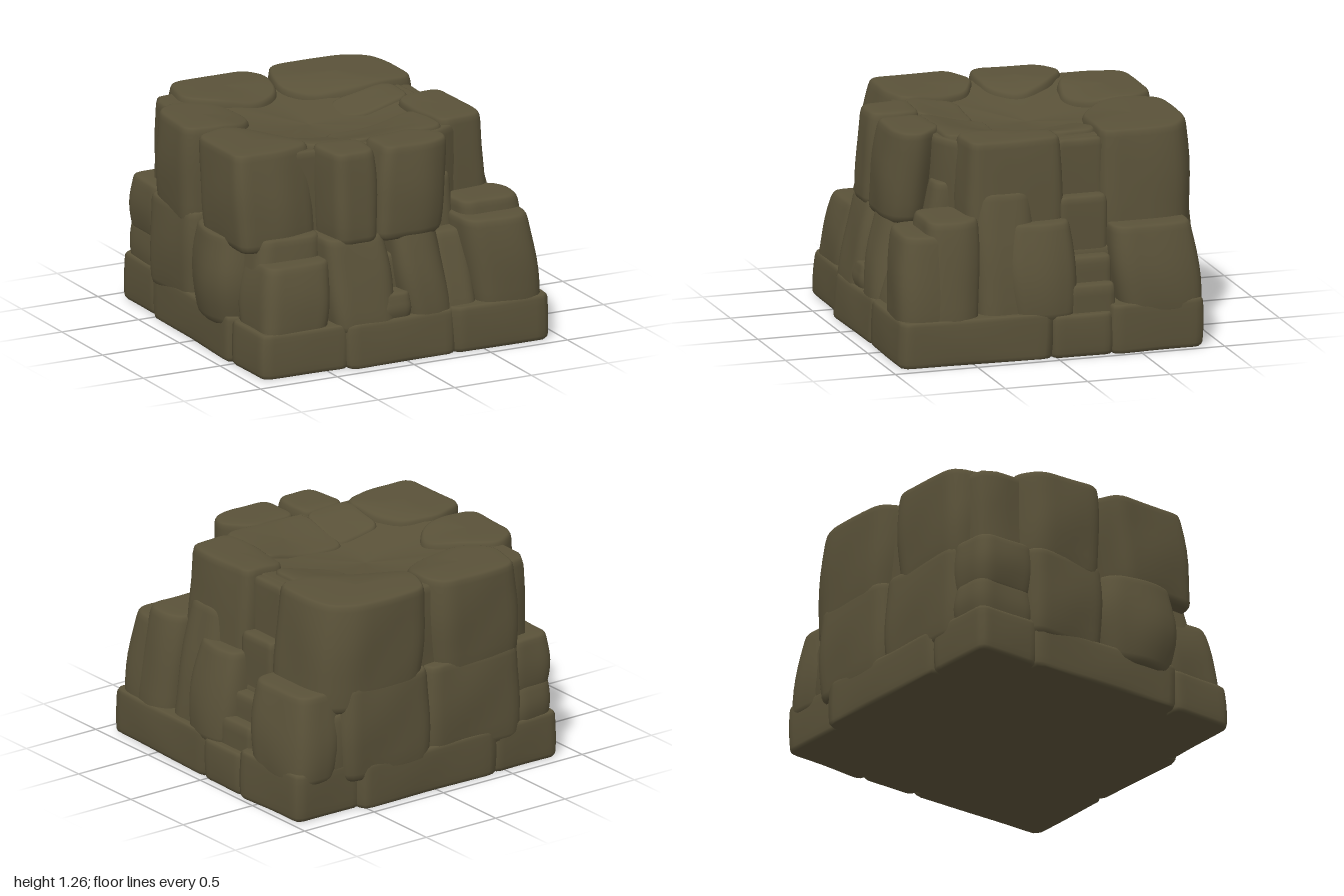
import * as THREE from 'three';

const rock = new THREE.MeshStandardMaterial({ color: 0x5a5239 });
rock.name = 'mossy rock';

// rectangular footprint
const rect = (x0, x1, z0, z1) => [[x0, z0], [x1, z0], [x1, z1], [x0, z1]];

// round the corners of a footprint and resample it evenly
function outline(pts, radius, n) {
  const v = pts.map(p => new THREE.Vector2(p[0], p[1]));
  if (THREE.ShapeUtils.area(v) < 0) v.reverse();
  const shape = new THREE.Shape();
  v.forEach((p, i) => {
    const a = v[(i + v.length - 1) % v.length], b = v[(i + 1) % v.length];
    const cut = q => p.clone().lerp(q, Math.min(0.4, radius / p.distanceTo(q)));
    const s = cut(a), e = cut(b);
    if (i) shape.lineTo(s.x, s.y); else shape.moveTo(s.x, s.y);
    shape.quadraticCurveTo(p.x, p.y, e.x, e.y);
  });
  shape.closePath();
  return shape.getSpacedPoints(n).slice(0, n);
}

// lofted boulder: footprint at its top, leaning outward by (dx, dz) at its foot
function stone(name, pts, y0, y1, { lean = [0, 0], radius = 0.09, bulge = 0.012, wave = 0.008, edge = 0.024, soft = 0.045 } = {}) {
  const n = 56, ring = outline(pts, radius, n);
  const c = ring.reduce((s, p) => s.add(p), new THREE.Vector2()).divideScalar(n);
  const h = y1 - y0;
  // [height, inset, scale]
  const rows = [[y0, 0, 0], [y0, soft * 0.6, 1], [y0 + soft * 0.4, soft * 0.2, 1], [y0 + soft, 0, 1]];
  for (let k = 1; k < 6; k++) rows.push([y0 + soft + (h - 2 * soft) * k / 6, -bulge * Math.sin(Math.PI * k / 6), 1]);
  rows.push([y1 - soft, 0, 1], [y1 - soft * 0.4, edge * 0.25, 1], [y1 - soft * 0.12, edge * 0.6, 1], [y1 - 0.002, edge, 1],
    [y1, edge, 0.8], [y1, edge, 0.5], [y1, 0, 0]);
  const pos = [], idx = [];
  rows.forEach(([y, inset, scale]) => {
    const t = (y1 - y) / h;
    ring.forEach(p => {
      const d = p.clone().sub(c), len = d.length();
      d.multiplyScalar(scale * (len - inset) / len);
      let x = c.x + d.x + lean[0] * t, z = c.y + d.y + lean[1] * t, yy = y;
      // gentle weathering of the walls
      const w = wave * scale * Math.sin(9 * x + 5 * y + 2) * Math.sin(8 * z - 6 * y + 1);
      x += w * d.x / len; z += w * d.y / len;
      // shallow dish worn into the summit
      if (y > 1.1) yy -= 0.085 * (1 - THREE.MathUtils.smoothstep(Math.hypot(x + 0.05, z + 0.08), 0.2, 0.66));
      pos.push(x, yy, z);
    });
  });
  for (let r = 0; r < rows.length - 1; r++) for (let i = 0; i < n; i++) {
    const j = (i + 1) % n, a = r * n + i, b = r * n + j;
    idx.push(a, a + n, b, b, a + n, b + n);
  }
  const g = new THREE.BufferGeometry();
  g.setAttribute('position', new THREE.Float32BufferAttribute(pos, 3));
  g.setIndex(idx);
  g.computeVertexNormals();
  const m = new THREE.Mesh(g, rock);
  m.name = name;
  return m;
}

export function createModel() {
  const model = new THREE.Group();
  model.name = 'rockOutcrop';
  const add = (...a) => model.add(stone(...a));

  // inner mass
  add('core', [[-0.76, -0.82], [0.6, -0.85], [0.65, -0.2], [0.64, 0.42], [0.35, 0.56], [-0.78, 0.52]], 0.1, 1.225);
  add('lowerCore', rect(-0.84, 0.78, -0.88, 0.74), 0.1, 0.6);

  // base blocks around the foot
  const foot = { radius: 0.05, bulge: 0.004, wave: 0.004, soft: 0.025, edge: 0.02 };
  add('baseSlab', [[-0.88, -0.5], [-0.5, -0.9], [0.5, -0.9], [0.92, -0.5], [0.91, 0.88], [-0.4, 0.88], [-0.88, 0.45]], 0, 0.24, foot);
  const base = [
    ['baseFrontRight', [[-0.915, 0.46], [-0.34, 0.46], [-0.34, 0.88], [-0.905, 0.86]], 0.26, [-0.01, 0.015]],
    ['baseFrontMiddle', [[-0.4, 0.5], [0.33, 0.5], [0.33, 0.9], [-0.38, 0.91]], 0.26, [0, 0.025]],
    ['baseFrontLeft', [[0.3, 0.4], [0.955, 0.0], [0.925, 0.93], [0.3, 0.92]], 0.27, [0, 0.01]],
    ['baseLeftMiddle', rect(0.5, 0.965, -0.34, 0.03), 0.25, [0, 0]],
    ['baseBackLeft', [[0.5, -0.89], [0.965, -0.89], [0.98, -0.33], [0.5, -0.33]], 0.29, [0, 0]],
    ['baseBack', rect(-0.44, 0.54, -0.945, -0.5), 0.27, [0, 0]],
    ['baseBackRight', rect(-0.88, -0.42, -0.935, -0.52), 0.28, [0, 0]],
    ['baseRight', [[-0.9, -0.54], [-0.5, -0.54], [-0.5, 0.48], [-0.93, 0.48]], 0.27, [0, 0]],
  ];
  base.forEach(([name, p, top, lean]) => add(name, p, 0, top, { ...foot, lean }));

  // middle course of boulders
  add('frontRightLow', rect(-0.83, -0.41, 0.4, 0.79), 0.2, 0.63, { lean: [-0.06, 0.075] });
  add('frontRightShelf', rect(-0.81, -0.41, 0.35, 0.655), 0.2, 0.755, { lean: [-0.06, 0.06] });
  add('frontMiddleRight', rect(-0.44, -0.06, 0.4, 0.79), 0.2, 0.745, { lean: [0.02, 0.12] });
  add('frontMiddleLeft', [[-0.03, 0.42], [0.3, 0.42], [0.3, 0.66], [0.22, 0.8], [-0.02, 0.8]], 0.2, 0.75, { lean: [0.08, 0.11] });
  add('frontWedge', rect(-0.15, 0.05, 0.6, 0.88), 0.2, 0.4, { radius: 0.05 });
  add('frontLeftCorner', [[0.42, 0.52], [0.84, 0.52], [0.85, 0.8], [0.78, 0.89], [0.43, 0.86]], 0.2, 0.755, { lean: [0.07, 0.045], radius: 0.11 });
  add('frontLeftCap', [[0.44, 0.43], [0.8, 0.41], [0.86, 0.53], [0.83, 0.73], [0.46, 0.74]], 0.2, 0.83, { lean: [0.08, 0.03] });
  add('frontLeftFill', rect(0.24, 0.5, 0.4, 0.72), 0.2, 0.68, { lean: [0, 0.17] });
  add('frontLeftWedge', rect(0.28, 0.48, 0.3, 0.58), 0.4, 0.97, { lean: [0, 0.06] });
  add('leftShoulder', rect(0.5, 0.79, 0.08, 0.43), 0.2, 0.96, { lean: [0.13, 0.01], radius: 0.13 });
  add('leftPillar', [[0.6, -0.13], [0.84, -0.13], [0.88, 0.04], [0.84, 0.25], [0.6, 0.25]], 0.22, 0.78, { lean: [0.09, 0], radius: 0.12, bulge: 0.025 });
  add('leftBackBoulder', [[0.6, -0.85], [0.88, -0.85], [0.92, -0.7], [0.92, -0.36], [0.6, -0.36]], 0.2, 0.735, { lean: [0.06, -0.05], radius: 0.12, bulge: 0.02 });
  add('backLeftLow', rect(0.03, 0.64, -0.935, -0.5), 0.18, 0.76, { lean: [0, -0.01] });
  add('backRightLow', rect(-0.62, 0.04, -0.93, -0.5), 0.18, 0.75, { lean: [0, -0.01] });
  add('backRightCorner', rect(-0.86, -0.58, -0.92, -0.53), 0.2, 0.48);
  add('backRightCap', rect(-0.86, -0.56, -0.91, -0.53), 0.42, 0.76, { bulge: 0.015 });
  add('rightBackLow', rect(-0.91, -0.5, -0.56, -0.04), 0.2, 0.75);
  add('rightFrontLow', [[-0.9, -0.02], [-0.5, -0.02], [-0.5, 0.48], [-0.92, 0.46], [-0.97, 0.25]], 0.2, 0.74, { bulge: 0.035, radius: 0.12 });

  // steps descending in the left cleft
  [[0.69, 1.22], [0.77, 0.9], [0.85, 0.56], [0.92, 0.41]].forEach(([x, top]) =>
    add('cleftStep', rect(0.5, x, -0.37, -0.08), 0.18, top, { radius: 0.03, bulge: 0, wave: 0.003 }));

  // crown of boulders
  add('crownBackRight', [[-0.66, -0.62], [-0.6, -0.92], [-0.08, -0.93], [-0.01, -0.8], [-0.06, -0.55], [-0.25, -0.42], [-0.5, -0.47]], 0.66, 1.26, { lean: [-0.02, 0] });
  add('crownBackLeft', [[-0.01, -0.78], [0.06, -0.93], [0.55, -0.93], [0.69, -0.84], [0.72, -0.7], [0.72, -0.345], [0.4, -0.36], [0.1, -0.42], [-0.04, -0.58]], 0.6, 1.265, { lean: [0.06, 0] });
  add('crownRightBack', [[-0.92, -0.08], [-0.89, -0.5], [-0.72, -0.59], [-0.5, -0.44], [-0.41, -0.24], [-0.54, -0.06], [-0.74, -0.04]], 0.66, 1.255);
  add('crownRightFront', [[-0.92, 0.04], [-0.7, -0.05], [-0.5, 0.05], [-0.41, 0.22], [-0.4, 0.48], [-0.62, 0.55], [-0.91, 0.54]], 0.68, 1.255, { lean: [0, 0.085], radius: 0.07 });
  add('crownFrontInner', rect(-0.43, -0.1, 0.14, 0.5), 0.8, 1.245);
  add('crownFrontInnerLeft', rect(-0.13, 0.47, 0.1, 0.51), 0.8, 1.245);
  add('crownFrontRight', [[-0.4, 0.47], [-0.12, 0.46], [-0.09, 0.6], [-0.12, 0.77], [-0.37, 0.77]], 0.7, 1.25, { lean: [0, 0.04], radius: 0.07 });
  add('crownFrontLeft', [[-0.07, 0.48], [0.25, 0.47], [0.39, 0.62], [0.36, 0.73], [0.24, 0.78], [-0.06, 0.77]], 0.7, 1.25, { lean: [-0.06, 0.04], radius: 0.07 });
  add('crownLeft', [[0.46, -0.1], [0.74, -0.11], [0.755, 0.3], [0.74, 0.45], [0.46, 0.47], [0.42, 0.2]], 0.25, 1.26, { lean: [0.05, 0.02], radius: 0.07 });
  add('crownLeftInner', [[0.16, -0.38], [0.58, -0.38], [0.58, -0.1], [0.24, -0.1], [0.13, -0.2]], 0.8, 1.245);
  return model;
}
